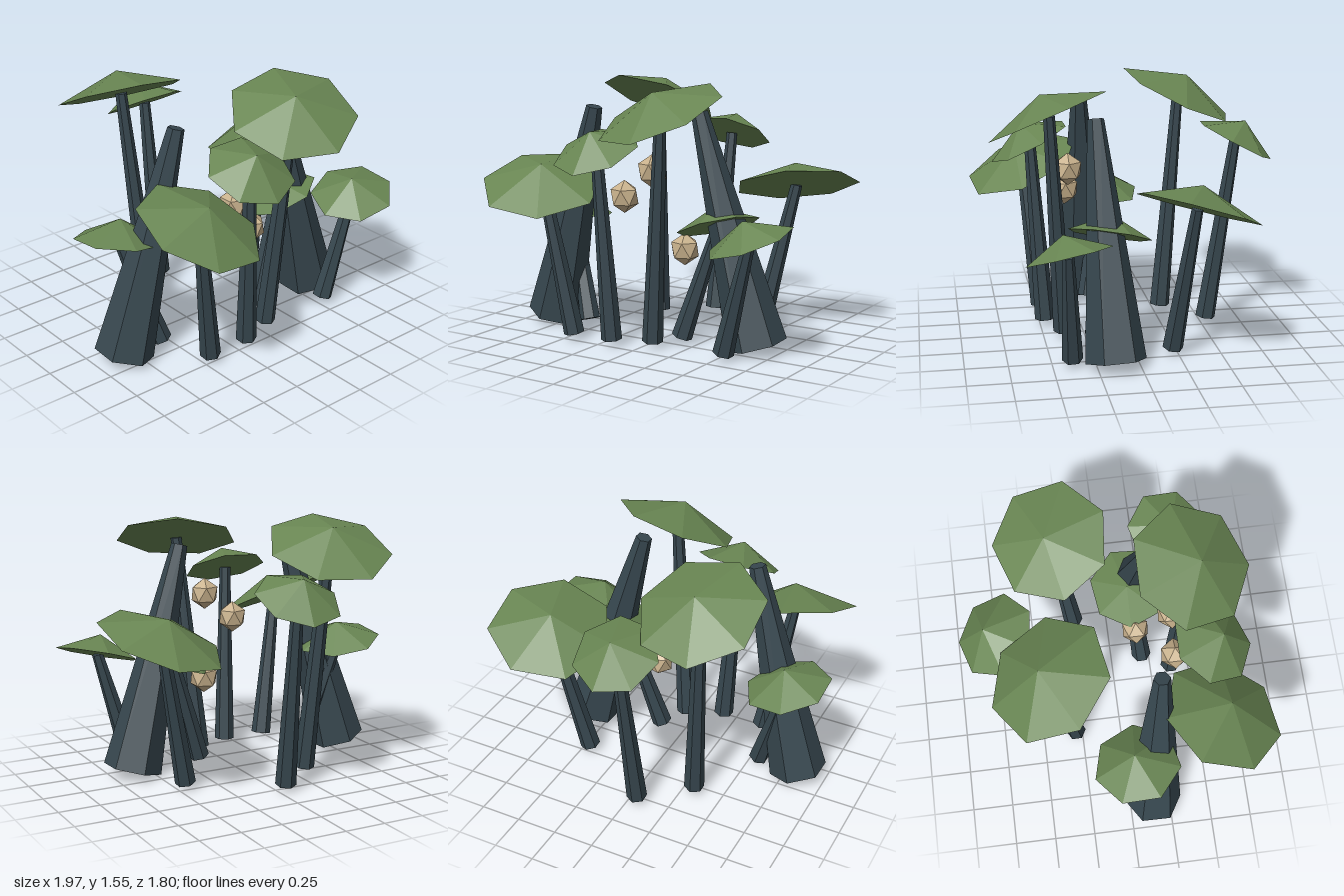
import * as THREE from 'three';

const UP = new THREE.Vector3(0, 1, 0);

export function createModel() {
  const group = new THREE.Group();
  const make = (name, color) => {
    const m = new THREE.MeshStandardMaterial({ color, flatShading: true });
    m.name = name;
    return m;
  };
  const bark = make('slate bark', 0x37474f);
  const leaf = make('leaf green', 0x688552);
  const husk = make('pale husk', 0xc8b18c);

  const add = (name, geometry, material, position) => {
    const mesh = new THREE.Mesh(geometry, material);
    mesh.name = name;
    mesh.position.copy(position);
    group.add(mesh);
    return mesh;
  };

  // Tapered six-sided post running from one point to another
  const post = (name, from, to, rBottom, rTop) => {
    const a = new THREE.Vector3(...from), b = new THREE.Vector3(...to);
    const dir = b.clone().sub(a);
    const geometry = new THREE.CylinderGeometry(rTop, rBottom, dir.length(), 6);
    const mesh = add(name, geometry, bark, a.clone().add(b).multiplyScalar(0.5));
    mesh.quaternion.setFromUnitVectors(UP, dir.normalize());
  };

  // Seven-sided shallow cone; slopes are the rise of its rim along x and z
  const cap = (name, center, r, h, slopeX, slopeZ, turn) => {
    const geometry = new THREE.ConeGeometry(r, h, 7);
    geometry.translate(0, h / 2, 0);
    geometry.rotateY(THREE.MathUtils.degToRad(turn));
    const mesh = add(name, geometry, leaf, new THREE.Vector3(...center));
    const normal = new THREE.Vector3(-slopeX, 1, -slopeZ).normalize();
    mesh.quaternion.setFromUnitVectors(UP, normal);
  };

  // Two thick trunks leaning towards each other
  for (const side of [-1, 1]) {
    post(side < 0 ? 'rightTrunk' : 'leftTrunk',
      [-0.1 + side * 0.727, 0.05, 0.145], [-0.1 + side * 0.37, 1.385, 0.205], 0.177, 0.049);
  }

  // Thin stems, each carrying a tilted leaf cap
  const plants = [
    { foot: [-0.56, 0.045, 0.15], top: [-0.765, 0.727, 0.04], r: 0.262, h: 0.122, tilt: [-0.2, 0.12], turn: 38 },
    { foot: [-0.445, 0.045, 0.47], top: [-0.59, 0.95, 0.56], r: 0.372, h: 0.135, tilt: [-0.2, -0.4], turn: -20 },
    { foot: [-0.32, 0.045, -0.29], top: [-0.40, 1.4, -0.41], r: 0.374, h: 0.135, tilt: [-0.09, 0.46], turn: 37 },
    { foot: [-0.17, 0.045, 0.47], top: [-0.215, 1.165, 0.54], r: 0.26, h: 0.13, tilt: [0.04, -0.5], turn: 0 },
    { foot: [-0.05, 0.045, -0.53], top: [-0.025, 1.17, -0.69], r: 0.252, h: 0.135, tilt: [0, 0.53], turn: 19 },
    { foot: [0.06, 0.045, 0.38], top: [0.17, 1.39, 0.46], r: 0.378, h: 0.135, tilt: [0.21, -0.41], turn: 2 },
    { foot: [0.15, 0.045, 0.2], top: [0.36, 0.72, 0.14], r: 0.25, h: 0.12, tilt: [0.35, 0.2], turn: 7 },
    { foot: [0.45, 0.045, -0.22], top: [0.635, 0.93, -0.315], r: 0.378, h: 0.135, tilt: [0.24, 0.31], turn: 18 },
    { foot: [0.54, 0.045, 0.385], top: [0.725, 0.715, 0.425], r: 0.255, h: 0.122, tilt: [0.28, -0.2], turn: 18 },
  ];
  plants.forEach(({ foot, top, r, h, tilt, turn }, i) => {
    post(`stem${i + 1}`, foot, top, 0.062, 0.034);
    cap(`leafCap${i + 1}`, top, r, h, tilt[0], tilt[1], turn);
  });

  // Faceted seed pods hanging between the stems
  [[0.035, 1.045, 0.34], [-0.16, 0.88, 0.34], [0.14, 0.565, 0.15]].forEach((p, i) => {
    const geometry = new THREE.IcosahedronGeometry(0.098, 0);
    geometry.rotateZ(-Math.atan(2 / (1 + Math.sqrt(5))));
    geometry.scale(0.93, 1, 0.93);
    add(`seedPod${i + 1}`, geometry, husk, new THREE.Vector3(...p));
  });

  return group;
}
